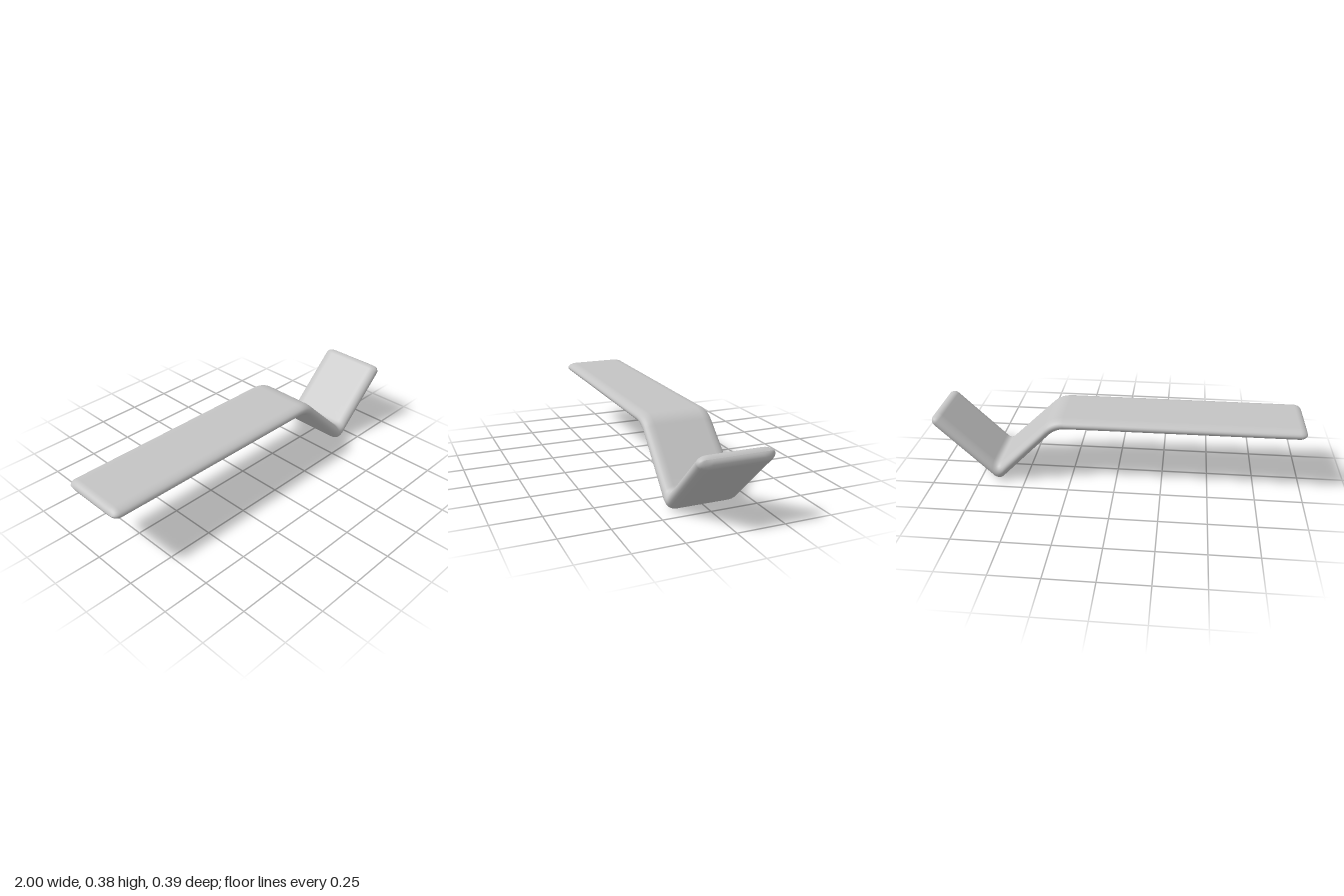
import * as THREE from 'three';

// Centreline nodes: position, half thickness, half width, bend or end rounding length
const NODES = [
  { p: [-1, 0.352], t: 0.028, w: 0.187, r: 0.04 },
  { p: [0.33, 0.352], t: 0.029, w: 0.189, r: 0.06 },
  { p: [0.65, 0.036], t: 0.034, w: 0.193, r: 0.037 },
  { p: [0.99, 0.364], t: 0.034, w: 0.193, r: 0.034 },
].map((n) => ({ ...n, p: new THREE.Vector2(...n.p) }));

const CORNER = 0.035; // rounding of the end corners seen from above
const EDGE = 0.055; // width of the softened long edges
const normalOf = (d) => new THREE.Vector2(-d.y, d.x);

// Rounded end: thickness and width shrink along a quarter ellipse
function endStations(node, inward, normal) {
  const list = [];
  for (let i = 0; i <= 8; i++) {
    const a = (i / 8) * Math.PI / 2;
    const f = Math.sin(a);
    list.push({
      c: node.p.clone().addScaledVector(inward, node.r * (1 - Math.cos(a))),
      h: normal.clone().multiplyScalar(node.t * f),
      w: node.w - CORNER * (1 - f),
    });
  }
  return list;
}

// Bend: upper and lower faces are filleted separately around mitred corners
function bendStations(node, d0, d1) {
  const n0 = normalOf(d0);
  const miter = n0.clone().add(normalOf(d1)).normalize();
  miter.multiplyScalar(node.t / miter.dot(n0));
  const fillet = (side) => {
    const k = node.p.clone().addScaledVector(miter, side);
    return new THREE.QuadraticBezierCurve(
      k.clone().addScaledVector(d0, -node.r), k, k.clone().addScaledVector(d1, node.r));
  };
  const top = fillet(1), bottom = fillet(-1), list = [];
  for (let i = 0; i <= 12; i++) {
    const a = top.getPoint(i / 12), b = bottom.getPoint(i / 12);
    list.push({
      c: a.clone().add(b).multiplyScalar(0.5),
      h: a.clone().sub(b).multiplyScalar(0.5),
      w: node.w,
    });
  }
  return list;
}

// Straight run between two stations
function straight(a, b, steps) {
  return Array.from({ length: steps - 1 }, (_, i) => {
    const k = (i + 1) / steps;
    return { c: a.c.clone().lerp(b.c, k), h: a.h.clone().lerp(b.h, k), w: THREE.MathUtils.lerp(a.w, b.w, k) };
  });
}

function stripGeometry() {
  const dirs = NODES.slice(1).map((n, i) => n.p.clone().sub(NODES[i].p).normalize());
  const groups = [
    endStations(NODES[0], dirs[0], normalOf(dirs[0])),
    bendStations(NODES[1], dirs[0], dirs[1]),
    bendStations(NODES[2], dirs[1], dirs[2]),
    endStations(NODES[3], dirs[2].clone().negate(), normalOf(dirs[2])).reverse(),
  ];
  const stations = [];
  groups.forEach((g, i) => {
    if (i) stations.push(...straight(stations[stations.length - 1], g[0], 8));
    stations.push(...g);
  });

  // Cross-section: flat faces with a half ellipse along each edge
  const ARC = 12, RING = 2 * (ARC + 1);
  const pos = [], index = [];
  for (const { c, h, w } of stations) {
    for (let j = 0; j < RING; j++) {
      const side = j <= ARC ? 1 : -1;
      const a = ((j % (ARC + 1)) / ARC - 0.5) * Math.PI;
      const u = side * Math.sin(a);
      pos.push(c.x + h.x * u, c.y + h.y * u, side * (w - EDGE + EDGE * Math.cos(a)));
    }
  }
  for (let i = 0; i < stations.length - 1; i++) {
    for (let j = 0; j < RING; j++) {
      const k = (j + 1) % RING;
      const a = i * RING + j, b = a + RING, d = i * RING + k, e = d + RING;
      index.push(a, b, e, a, e, d);
    }
  }
  const geo = new THREE.BufferGeometry();
  geo.setAttribute('position', new THREE.Float32BufferAttribute(pos, 3));
  geo.setIndex(index);
  geo.computeVertexNormals();
  return geo;
}

export function createModel() {
  const grey = new THREE.MeshStandardMaterial({ color: 0xc4c4c4 });
  grey.name = 'lightGrey';
  const strip = new THREE.Mesh(stripGeometry(), grey);
  strip.name = 'bentStrip';
  const model = new THREE.Group();
  model.name = 'bentBracket';
  model.add(strip);
  return model;
}
